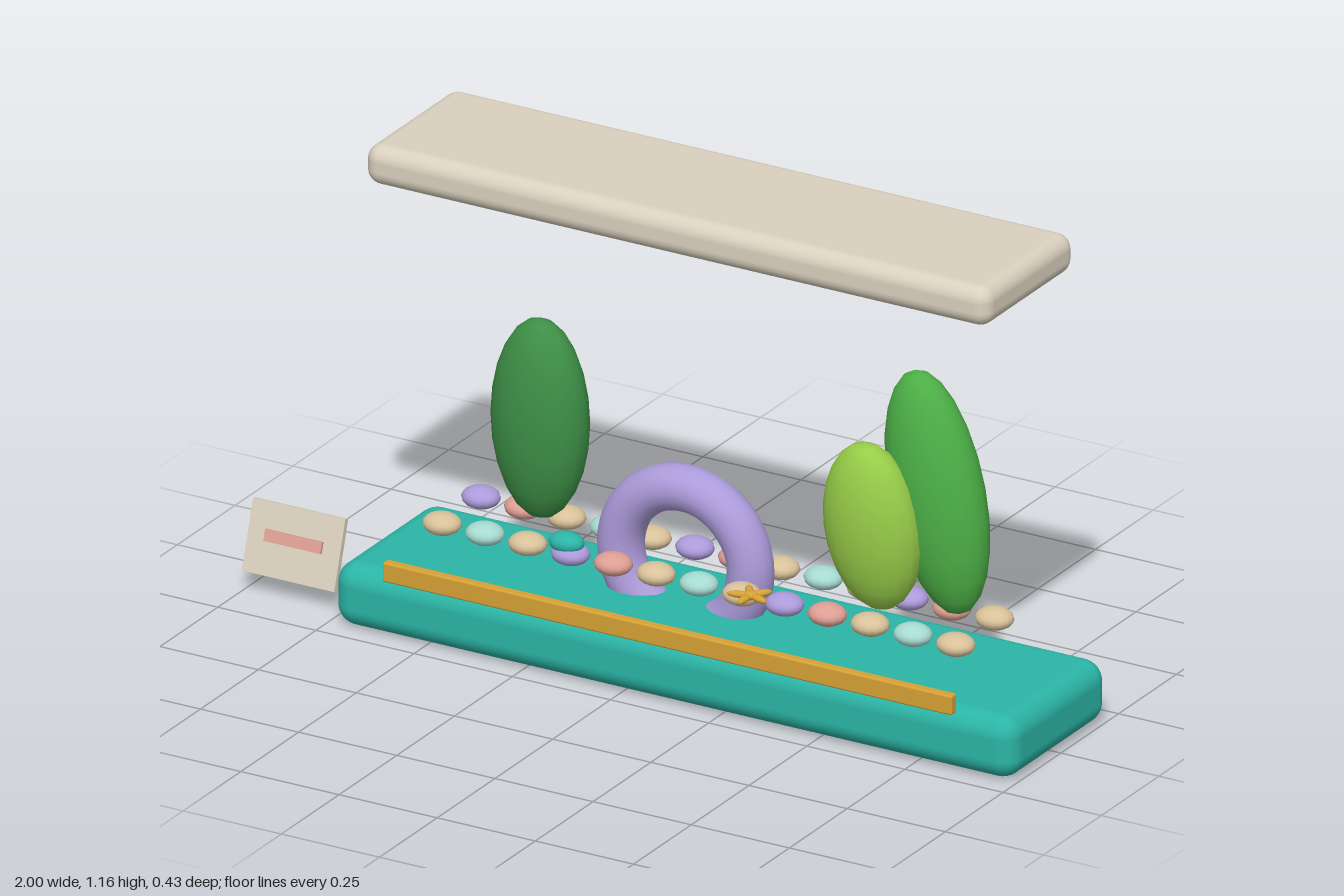
import * as THREE from 'three';
import { RoundedBoxGeometry } from 'three/addons/geometries/RoundedBoxGeometry.js';

const paint = (name, color) => {
  const m = new THREE.MeshStandardMaterial({ color });
  m.name = name;
  return m;
};

export function createModel() {
  const model = new THREE.Group();
  const stone = paint('stone', 0xdad0be);
  const teal = paint('teal', 0x2bb5a6);
  const gold = paint('gold', 0xd6a136);
  const lilac = paint('lilac', 0xac9bda);
  const sand = paint('sand', 0xd9c29a);
  const mint = paint('mint', 0xa6dbd1);
  const coral = paint('coral', 0xde9f94);
  const darkGreen = paint('dark green', 0x3d8f46);
  const midGreen = paint('mid green', 0x4caf46);
  const lime = paint('lime', 0x97cc48);

  const add = (name, geometry, material, x, y, z, parent = model) => {
    const mesh = new THREE.Mesh(geometry, material);
    mesh.name = name;
    mesh.position.set(x, y, z);
    parent.add(mesh);
    return mesh;
  };
  const ellipsoid = (rx, ry, rz, w = 18, h = 12) =>
    new THREE.SphereGeometry(1, w, h).scale(rx, ry, rz);

  // Base tray, front rail and floating lid with its lower panel
  add('base', new RoundedBoxGeometry(1.735, 0.15, 0.43, 5, 0.05), teal, 0.1325, 0.075, 0);
  add('frontRail', new RoundedBoxGeometry(1.45, 0.047, 0.024, 2, 0.005), gold, 0.125, 0.161, 0.207);
  add('lid', new RoundedBoxGeometry(1.59, 0.095, 0.39, 5, 0.036), stone, 0.13, 1.1125, 0);
  add('lidPanel', new THREE.BoxGeometry(1.4, 0.012, 0.24), stone, 0.13, 1.06, 0);

  // Ring whose lower part is sunk in the base
  add('arch', new THREE.TorusGeometry(0.165, 0.053, 16, 48), lilac, 0.032, 0.2475, -0.022);

  // Leaning plants
  add('leftPlant', ellipsoid(0.118, 0.238, 0.08), darkGreen, -0.352, 0.487, -0.045);
  const tall = add('tallPlant', ellipsoid(0.115, 0.286, 0.083), midGreen, 0.658, 0.532, -0.047);
  tall.rotation.z = 0.2;
  const small = add('smallPlant', ellipsoid(0.118, 0.2, 0.078), lime, 0.538, 0.453, 0.028);
  small.rotation.set(0.06, 0, 0.08);

  // Two rows of pebbles in a repeating colour order
  const order = [sand, mint, sand, lilac, coral];
  const pebble = ellipsoid(0.045, 0.025, 0.04, 16, 10);
  for (const [row, z, shift] of [['front', 0.086, 0], ['back', -0.082, 3]]) {
    for (let i = 0; i < 13; i++) {
      add(row + 'Pebble', pebble, order[(i + shift) % 5], -0.525 + i * 0.109, 0.245, z);
    }
  }

  // Small shell and starfish
  add('shell', ellipsoid(0.042, 0.024, 0.032), teal, -0.207, 0.271, 0.088);
  const star = new THREE.Group();
  star.name = 'starfish';
  star.position.set(0.28, 0.264, 0.12);
  model.add(star);
  add('starCentre', ellipsoid(0.018, 0.01, 0.018, 12, 8), gold, 0, 0, 0, star);
  for (let i = 0; i < 5; i++) {
    const a = (i / 5) * Math.PI * 2 - Math.PI / 2;
    const arm = add('starArm', ellipsoid(0.027, 0.008, 0.01, 12, 8), gold,
      Math.cos(a) * 0.026, 0, -Math.sin(a) * 0.026, star);
    arm.rotation.y = a;
  }

  // Side plaque leaning back, with a coloured strip
  const plaque = new THREE.Group();
  plaque.name = 'plaque';
  plaque.position.set(-0.8825, 0.125, 0.115);
  plaque.rotation.x = -0.3;
  model.add(plaque);
  add('plaqueBoard', new THREE.BoxGeometry(0.235, 0.164, 0.013), stone, 0, 0, 0, plaque);
  add('plaqueStrip', new THREE.BoxGeometry(0.145, 0.027, 0.008), coral, 0, 0.008, 0.0095, plaque);

  return model;
}
